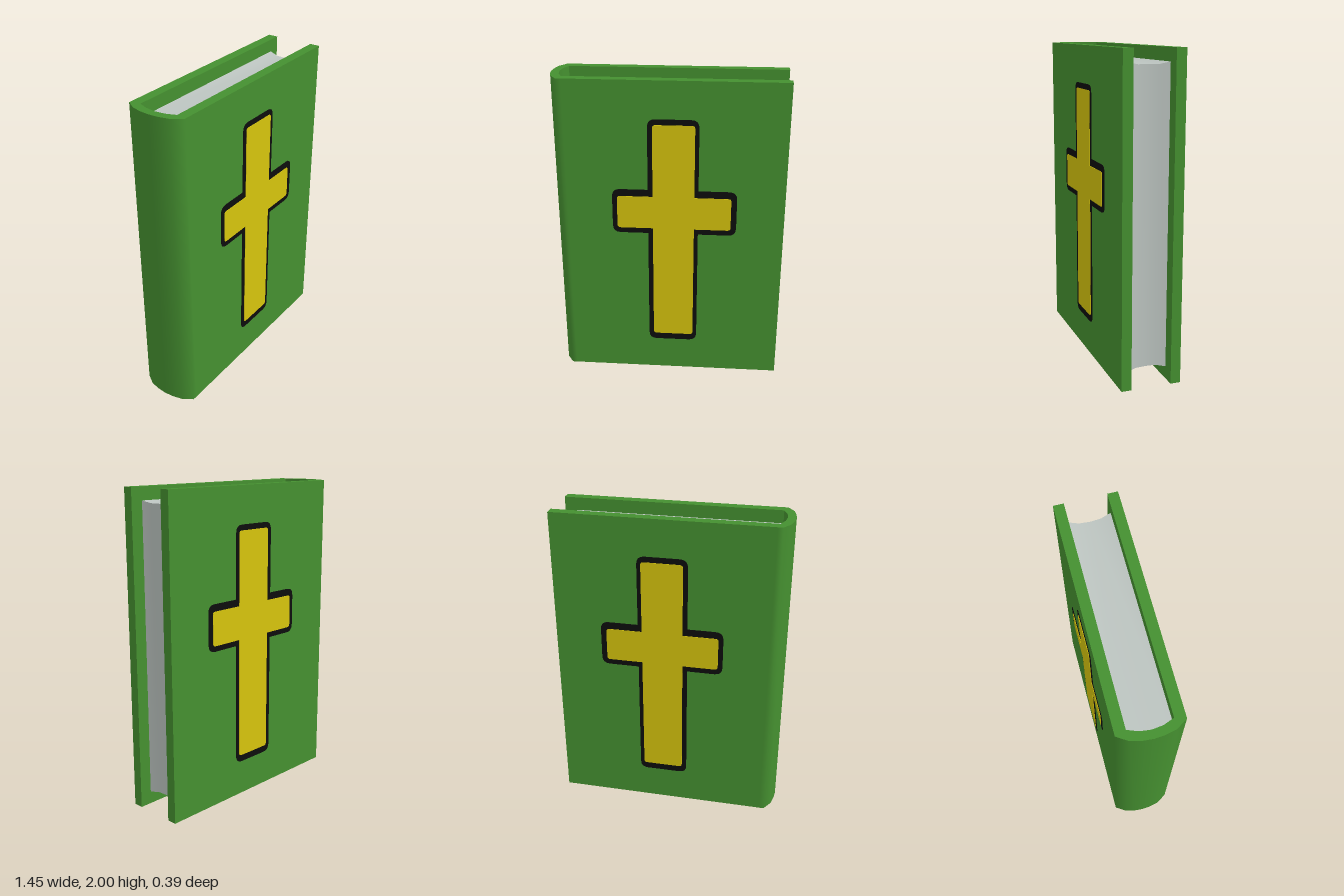
import * as THREE from 'three';
import { toCreasedNormals } from 'three/addons/utils/BufferGeometryUtils.js';

const paint = (name, color) => {
  const m = new THREE.MeshStandardMaterial({ color });
  m.name = name;
  return m;
};

// Outline in x and z, given for z >= 0 and mirrored to the other side
function mirroredShape(half) {
  const other = half.filter(([, z]) => z > 0).map(([x, z]) => [x, -z]).reverse();
  return new THREE.Shape([...half, ...other].map(([x, z]) => new THREE.Vector2(x, z)));
}

// Extrude an x-z outline upwards from y0 to y1
function upright(shape, y0, y1) {
  const g = new THREE.ExtrudeGeometry(shape, { depth: y1 - y0, bevelEnabled: false });
  return g.rotateX(-Math.PI / 2).translate(0, y0, 0);
}

// Cross with rounded outer corners: post x0..x1, y0..y1, arms a0..a1, b0..b1
function crossShape(x0, x1, y0, y1, a0, a1, b0, b1, r) {
  const pts = [
    [x0, y0, 1], [x1, y0, 1], [x1, b0, 0], [a1, b0, 1], [a1, b1, 1], [x1, b1, 0],
    [x1, y1, 1], [x0, y1, 1], [x0, b1, 0], [a0, b1, 1], [a0, b0, 1], [x0, b0, 0],
  ].map(([x, y, round]) => ({ p: new THREE.Vector2(x, y), round }));
  const s = new THREE.Shape();
  pts.forEach(({ p, round }, i) => {
    const towards = (q) => p.clone().add(q.clone().sub(p).setLength(round ? r : 0));
    const a = towards(pts[(i + 11) % 12].p);
    const b = towards(pts[(i + 1) % 12].p);
    if (i === 0) s.moveTo(a.x, a.y);
    else s.lineTo(a.x, a.y);
    if (round) s.quadraticCurveTo(p.x, p.y, b.x, b.y);
  });
  s.closePath();
  return s;
}

export function createModel() {
  const book = new THREE.Group();
  book.name = 'book';
  const green = paint('coverGreen', 0x459030);
  const grey = paint('pageGrey', 0xbcc4c0);
  const gold = paint('crossYellow', 0xd6c40d);
  const black = paint('outlineBlack', 0x0d0d0d);

  const add = (name, geometry, material) => {
    const mesh = new THREE.Mesh(geometry, material);
    mesh.name = name;
    book.add(mesh);
    return mesh;
  };

  // Cover: two boards joined by a rounded spine
  const outer = [[0.727, 0.19], [-0.635, 0.19], [-0.665, 0.19], [-0.707, 0.125], [-0.722, 0.06], [-0.727, 0]];
  const inner = [[-0.677, 0], [-0.669, 0.065], [-0.645, 0.127], [0.727, 0.127]];
  const flip = (list) => list.filter(([, z]) => z > 0).map(([x, z]) => [x, -z]).reverse();
  const coverShape = new THREE.Shape(
    [...outer, ...flip(outer), ...flip(inner), ...inner].map(([x, z]) => new THREE.Vector2(x, z)));
  add('cover', toCreasedNormals(upright(coverShape, 0, 2), 1.1), green);

  // Page block: rounded at the spine, hollowed at the fore edge
  const pages = upright(mirroredShape([
    [0.63, 0], [0.635, 0.065], [0.65, 0.126], [-0.645, 0.126], [-0.669, 0.065], [-0.677, 0],
  ]), 0.08, 1.92);
  const pos = pages.attributes.position;
  for (let i = 0; i < pos.count; i++) {
    // The hollow draws the middle of the fore edge in slightly
    if (pos.getX(i) > 0.5 && pos.getX(i) < 0.645) pos.setY(i, 1 + (pos.getY(i) - 1) * 0.986);
  }
  add('pages', toCreasedNormals(pages, 0.6), grey);

  // Outlined cross on both boards
  const plates = [
    ['Outline', crossShape(-0.125, 0.19, 0.225, 1.765, -0.35, 0.43, 1.015, 1.31, 0.05), 0.003, black],
    ['', crossShape(-0.095, 0.165, 0.27, 1.73, -0.32, 0.395, 1.05, 1.265, 0.02), 0.006, gold],
  ];
  for (const [suffix, shape, depth, material] of plates) {
    const plate = () => new THREE.ExtrudeGeometry(shape, { depth, bevelEnabled: false, curveSegments: 4 });
    add('frontCross' + suffix, plate().translate(0, 0, 0.19), material);
    add('backCross' + suffix, plate().translate(0, 0, -0.19 - depth), material);
  }
  return book;
}
